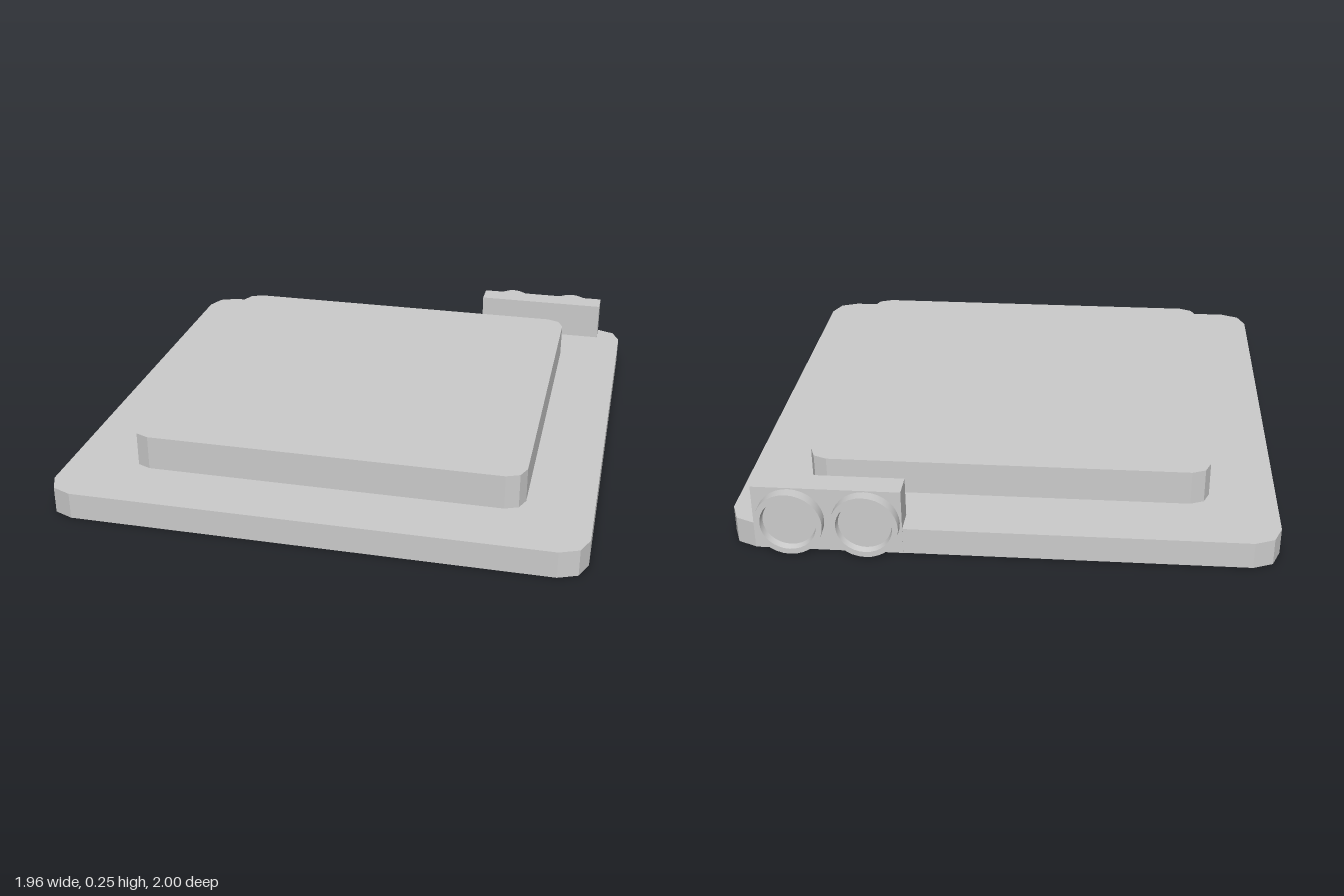
import * as THREE from 'three';
import { toCreasedNormals } from 'three/addons/utils/BufferGeometryUtils.js';

const material = new THREE.MeshStandardMaterial({ color: 0xcccccc });

function addPart(parent, name, geometry, x, y, z) {
  const mesh = new THREE.Mesh(geometry, material);
  mesh.name = name;
  mesh.position.set(x, y, z);
  parent.add(mesh);
  return mesh;
}

// Square slab with two-facet rounded corners, standing on y = 0
function slab(half, radius, height) {
  const c = half - radius;
  const shape = new THREE.Shape();
  [[1, 1], [-1, 1], [-1, -1], [1, -1]].forEach(([sx, sy], i) => {
    const start = (i * Math.PI) / 2;
    for (let k = 0; k <= 2; k++) {
      const a = start + (k * Math.PI) / 4;
      const x = sx * c + radius * Math.cos(a);
      const y = sy * c + radius * Math.sin(a);
      if (i + k === 0) shape.moveTo(x, y);
      else shape.lineTo(x, y);
    }
  });
  shape.closePath();
  const geometry = new THREE.ExtrudeGeometry(shape, { depth: height, bevelEnabled: false });
  return geometry.rotateX(-Math.PI / 2);
}

// Round socket opening towards -z, with a raised rim and recessed floor
function socket() {
  const profile = [[0.121, 0], [0.121, 0.045], [0.1, 0.045], [0.095, 0.02], [0, 0.02]]
    .map(([r, h]) => new THREE.Vector2(r, h));
  const geometry = new THREE.LatheGeometry(profile, 32).rotateX(-Math.PI / 2);
  return toCreasedNormals(geometry, 0.6);
}

export function createModel() {
  const model = new THREE.Group();
  model.name = 'steppedPlatform';

  // Two stacked slabs
  addPart(model, 'basePlate', slab(0.978, 0.1, 0.1), 0, 0, 0.02);
  addPart(model, 'raisedPlate', slab(0.734, 0.07, 0.13), 0, 0.1, 0.02);

  // Connector at the back edge with two round sockets
  const connector = new THREE.Group();
  connector.name = 'connector';
  addPart(connector, 'connectorBlock', new THREE.BoxGeometry(0.53, 0.25, 0.094), 0.615, 0.125, -0.912);
  for (const [name, x] of [['rightSocket', 0.478], ['leftSocket', 0.746]]) {
    addPart(connector, name, socket(), x, 0.125, -0.955);
  }
  model.add(connector);

  return model;
}
